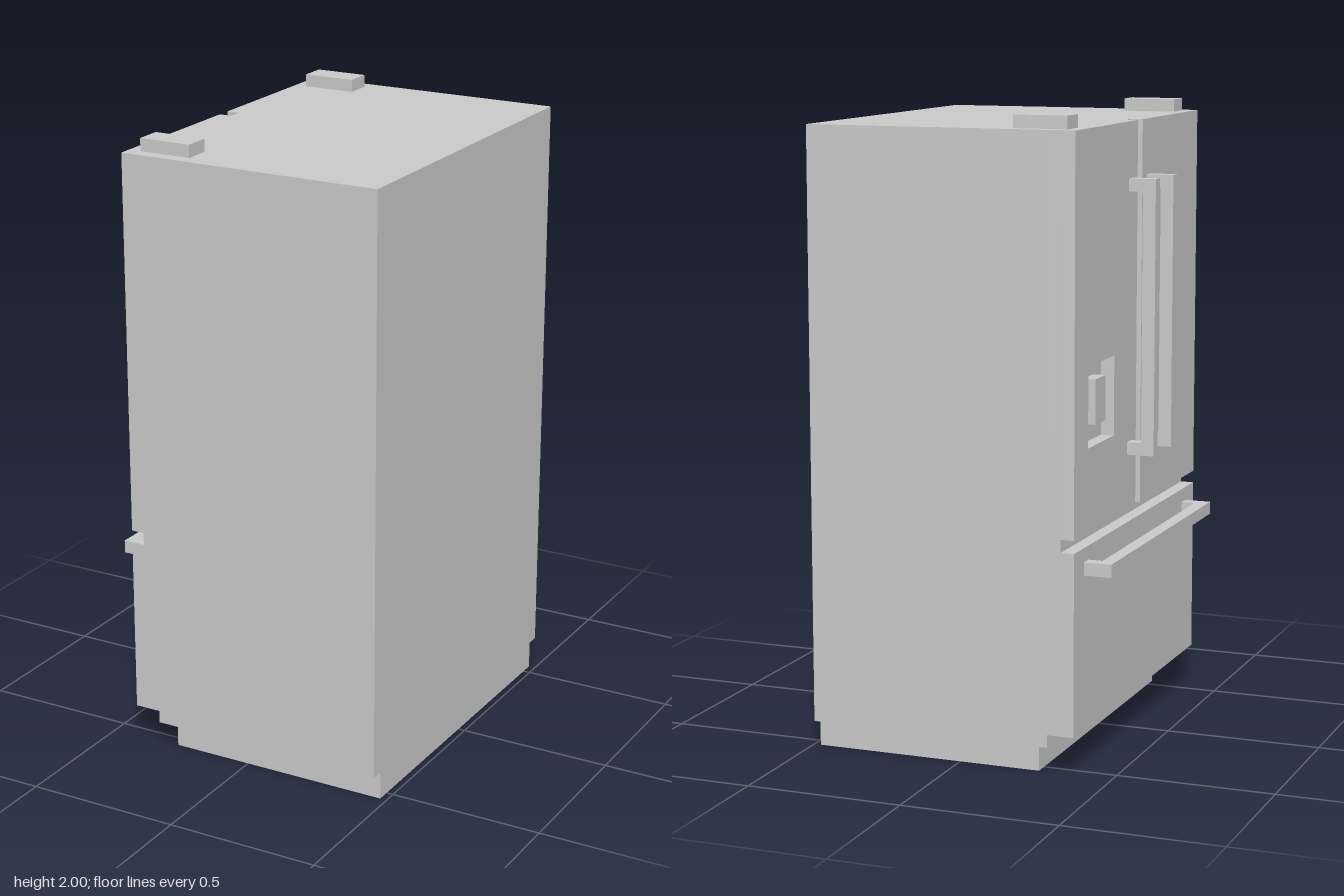
import * as THREE from 'three';

const material = new THREE.MeshStandardMaterial({ color: 0xcccccc });

// Box given by its min and max on each axis
function box(parent, name, [x0, x1], [y0, y1], [z0, z1]) {
  const mesh = new THREE.Mesh(new THREE.BoxGeometry(x1 - x0, y1 - y0, z1 - z0), material);
  mesh.position.set((x0 + x1) / 2, (y0 + y1) / 2, (z0 + z1) / 2);
  mesh.name = name;
  parent.add(mesh);
}

// Closed rectangle path in the door plane (z, y)
function rect(PathClass, [z0, z1], [y0, y1]) {
  return new PathClass([[z0, y0], [z1, y0], [z1, y1], [z0, y1]].map(p => new THREE.Vector2(...p)));
}

export function createModel() {
  const model = new THREE.Group();
  model.name = 'refrigerator';

  const W = 0.586, TOP = 1.96;          // half width, cabinet top
  const FACE = -0.39, LINER = -0.347;   // door face and the layer behind it
  const GRIP = -0.478, POST = -0.436;   // handle bar front and back

  // Cabinet, plinth and the recessed layer behind the doors
  box(model, 'plinth', [-0.263, 0.478], [0, 0.09], [-0.543, 0.543]);
  box(model, 'cabinet', [-0.305, 0.478], [0.09, TOP], [-W, W]);
  box(model, 'doorLiner', [LINER, -0.305], [0.13, TOP], [-W, W]);

  // Drawer front and plain upper door
  box(model, 'drawerFront', [FACE, LINER], [0.13, 0.70], [-W, W]);
  box(model, 'plainDoor', [FACE, LINER], [0.74, TOP], [0.023, W]);

  // Upper door with a dispenser opening
  const shape = rect(THREE.Shape, [-W, -0.023], [0.74, TOP]);
  shape.holes.push(rect(THREE.Path, [-0.466, -0.232], [1.0, 1.25]));
  const door = new THREE.Mesh(
    new THREE.ExtrudeGeometry(shape, { depth: LINER - FACE, bevelEnabled: false }), material);
  door.rotation.y = -Math.PI / 2;
  door.position.x = LINER;
  door.name = 'dispenserDoor';
  model.add(door);
  box(model, 'dispenserSpout', [-0.387, LINER], [1.06, 1.2], [-0.393, -0.303]);

  // Hinge covers and vertical door handles, one per side
  for (const s of [-1, 1]) {
    const side = (a, b) => (s > 0 ? [a, b] : [-b, -a]);
    box(model, 'hingeCover', [-0.35, -0.178], [TOP, 2], side(0.457, 0.543));

    const handle = new THREE.Group();
    handle.name = 'doorHandle';
    const z = side(0.067, 0.107);
    box(handle, 'handleBar', [GRIP, POST], [0.918, 1.785], z);
    box(handle, 'handlePost', [POST, FACE], [0.918, 0.958], z);
    box(handle, 'handlePost', [POST, FACE], [1.745, 1.785], z);
    model.add(handle);
  }

  // Horizontal drawer handle
  const drawerHandle = new THREE.Group();
  drawerHandle.name = 'drawerHandle';
  const y = [0.615, 0.656];
  box(drawerHandle, 'handleBar', [GRIP, POST], y, [-0.499, 0.499]);
  box(drawerHandle, 'handlePost', [POST, FACE], y, [-0.499, -0.459]);
  box(drawerHandle, 'handlePost', [POST, FACE], y, [0.459, 0.499]);
  model.add(drawerHandle);

  return model;
}
